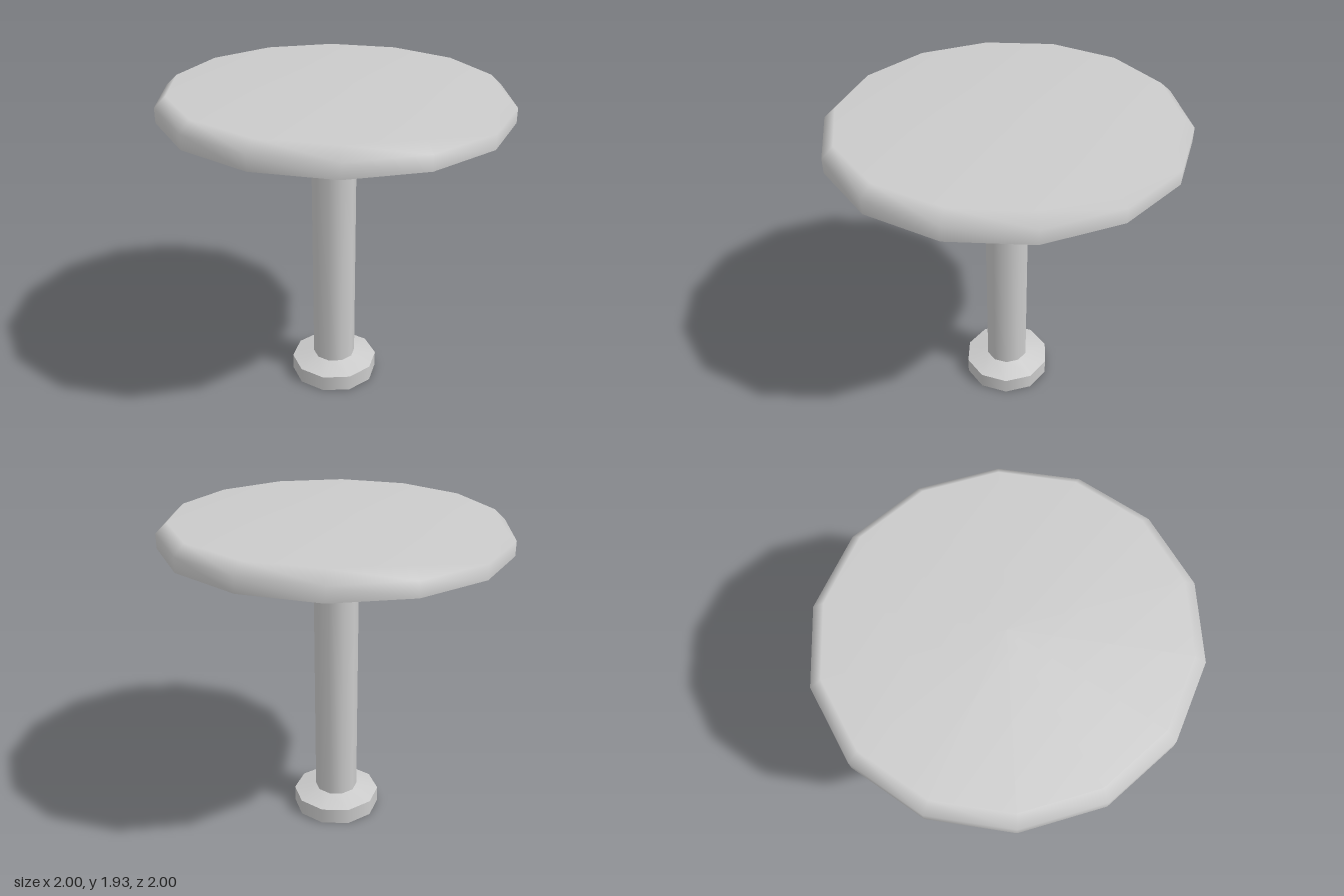
import * as THREE from 'three';

const grey = new THREE.MeshStandardMaterial({ color: 0xcccccc });

// Revolved band through [radius, y] points, listed bottom to top
function lathe(name, points, sides) {
  const profile = points.map(([r, y]) => new THREE.Vector2(r, y));
  const mesh = new THREE.Mesh(new THREE.LatheGeometry(profile, sides), grey);
  mesh.name = name;
  return mesh;
}

export function createModel() {
  const model = new THREE.Group();
  model.name = 'pedestalTable';

  // Fourteen-sided top, softly shaded over its bevel, with a crisp flat underside
  const top = new THREE.Group();
  top.name = 'tableTop';
  top.add(
    lathe('topSurface', [[1, 1.785], [1, 1.87], [0.935, 1.93], [0, 1.93]], 14),
    lathe('underside', [[0, 1.785], [1, 1.785]], 14),
  );
  top.scale.x = 1.026;
  model.add(top);

  // Ten-sided column and stepped foot, set very slightly forward
  const pedestal = new THREE.Group();
  pedestal.name = 'pedestal';
  pedestal.add(
    lathe('column', [[0.133, 0.13], [0.133, 1.785]], 10),
    lathe('footBottom', [[0, 0], [0.272, 0]], 10),
    lathe('footSide', [[0.272, 0], [0.272, 0.1]], 10),
    lathe('footSlope', [[0.272, 0.1], [0.133, 0.135]], 10),
  );
  pedestal.position.z = 0.007;
  model.add(pedestal);

  return model;
}
